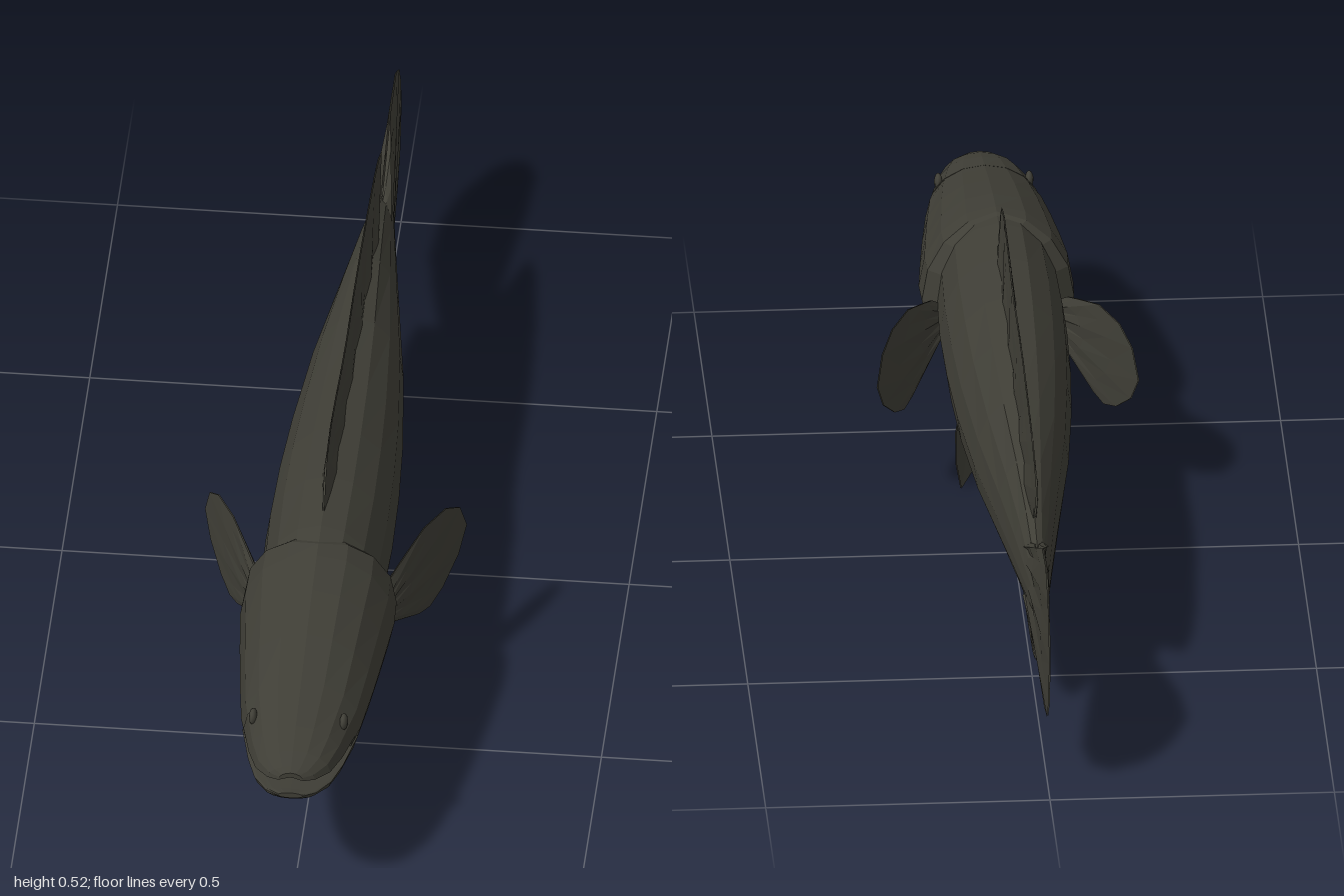
import * as THREE from 'three';

const SIDES = 16;
const skin = new THREE.MeshStandardMaterial({ color: 0x3f3e36 });
skin.name = 'dark olive skin';
const finSkin = new THREE.MeshStandardMaterial({ color: 0x3f3e36, side: THREE.DoubleSide });
finSkin.name = 'dark olive fin';

// faceted mesh from a list of triangle corner points
function facets(name, points, material) {
  const geometry = new THREE.BufferGeometry().setFromPoints(points);
  geometry.computeVertexNormals();
  const mesh = new THREE.Mesh(geometry, material);
  mesh.name = name;
  return mesh;
}

// closed loft, front to back; station = [z, bottom, middle, top, halfWidth, sweep]
// sweep pushes the flanks of a ring backwards
function loft(name, stations) {
  const rings = stations.map(([z, bottom, mid, top, w, sweep = 0]) =>
    Array.from({ length: SIDES }, (_, j) => {
      const a = (j / SIDES) * Math.PI * 2, c = Math.cos(a), s = Math.sin(a);
      const y = mid + (s > 0 ? (top - mid) * s : (mid - bottom) * s);
      return new THREE.Vector3(w * c, y, z - sweep * Math.abs(c));
    }));
  const centre = (ring) => ring.reduce((sum, p) => sum.add(p), new THREE.Vector3()).divideScalar(SIDES);
  const first = rings[0], last = rings[rings.length - 1];
  const front = centre(first), back = centre(last), tris = [];
  for (let j = 0; j < SIDES; j++) {
    const k = (j + 1) % SIDES;
    tris.push(front, first[j], first[k], back, last[k], last[j]);
    for (let i = 0; i < rings.length - 1; i++) {
      const a = rings[i], b = rings[i + 1];
      tris.push(a[j], b[j], a[k], a[k], b[j], b[k]);
    }
  }
  return facets(name, tris, skin);
}

// wedge-shaped fin fanning from a straight root to an outline, pleated along its rays
function fin(name, rootStart, rootEnd, outline, normal, thickness) {
  const A = new THREE.Vector3(...rootStart), B = new THREE.Vector3(...rootEnd);
  const N = new THREE.Vector3(...normal).normalize();
  const n = outline.length - 1, steps = 3, tris = [];
  const at = (i, v, side) => {
    const pleat = i === 0 || i === n ? 0.15 : i % 2 ? 0.65 : 1;
    return A.clone().lerp(B, i / n).lerp(new THREE.Vector3(...outline[i]), v)
      .addScaledVector(N, side * (thickness * (1 - v) * pleat + 0.001));
  };
  for (const side of [1, -1]) {
    for (let i = 0; i < n; i++) {
      for (let s = 0; s < steps; s++) {
        const v = s / steps, w = (s + 1) / steps;
        const a = at(i, v, side), b = at(i + 1, v, side), c = at(i, w, side), d = at(i + 1, w, side);
        if (side > 0) tris.push(a, b, c, c, b, d);
        else tris.push(a, c, b, c, d, b);
      }
    }
  }
  return facets(name, tris, finSkin);
}

// fin standing in the middle plane, outline as [z, y]
const middleFin = (name, start, end, outline, thickness) =>
  fin(name, [0, start[1], start[0]], [0, end[1], end[0]], outline.map(([z, y]) => [0, y, z]), [1, 0, 0], thickness);

export function createModel() {
  const fish = new THREE.Group();
  fish.name = 'fish';

  // trunk, starting inside the gill covers
  fish.add(loft('body', [
    [0.56, 0.165, 0.28, 0.412, 0.095],
    [0.44, 0.143, 0.28, 0.43, 0.108],
    [0.3, 0.137, 0.28, 0.431, 0.112],
    [0.15, 0.136, 0.275, 0.425, 0.109],
    [0, 0.141, 0.27, 0.413, 0.101],
    [-0.2, 0.152, 0.268, 0.4, 0.083],
    [-0.4, 0.17, 0.265, 0.38, 0.056],
    [-0.55, 0.186, 0.262, 0.352, 0.036],
    [-0.65, 0.198, 0.257, 0.322, 0.023],
    [-0.72, 0.215, 0.255, 0.295, 0.012],
  ]));

  // head with flared gill covers
  fish.add(loft('head', [
    [0.85, 0.202, 0.268, 0.349, 0.094],
    [0.8, 0.19, 0.27, 0.361, 0.106],
    [0.7, 0.174, 0.272, 0.388, 0.118],
    [0.6, 0.16, 0.275, 0.41, 0.128],
    [0.52, 0.15, 0.277, 0.424, 0.136, 0.01],
    [0.49, 0.146, 0.278, 0.428, 0.134, 0.04],
    [0.48, 0.15, 0.278, 0.424, 0.108, 0.05],
  ]));

  // open mouth: arched snout over a flat jaw
  fish.add(loft('upperJaw', [
    [0.99, 0.292, 0.286, 0.302, 0.022],
    [0.98, 0.294, 0.283, 0.309, 0.042],
    [0.95, 0.297, 0.279, 0.321, 0.066],
    [0.9, 0.297, 0.275, 0.337, 0.083],
    [0.83, 0.285, 0.272, 0.354, 0.099],
  ]));
  fish.add(loft('lowerJaw', [
    [1, 0.255, 0.26, 0.266, 0.022],
    [0.985, 0.242, 0.259, 0.264, 0.045],
    [0.95, 0.226, 0.258, 0.262, 0.068],
    [0.9, 0.212, 0.258, 0.262, 0.084],
    [0.82, 0.194, 0.262, 0.268, 0.102],
  ]));

  // unpaired fins
  fish.add(middleFin('dorsalFin', [0.4, 0.415], [-0.57, 0.335], [
    [0.4, 0.43], [0.375, 0.475], [0.345, 0.506], [0.27, 0.52], [0.18, 0.512], [0.08, 0.498],
    [-0.02, 0.491], [-0.15, 0.496], [-0.27, 0.493], [-0.4, 0.482], [-0.52, 0.467],
    [-0.59, 0.452], [-0.64, 0.428], [-0.625, 0.4], [-0.58, 0.352],
  ], 0.014));
  fish.add(middleFin('analFin', [0, 0.155], [-0.57, 0.2], [
    [0, 0.14], [-0.02, 0.1], [-0.06, 0.073], [-0.13, 0.06], [-0.22, 0.053], [-0.33, 0.053],
    [-0.44, 0.056], [-0.53, 0.062], [-0.6, 0.08], [-0.635, 0.105], [-0.62, 0.14], [-0.57, 0.18],
  ], 0.015));
  fish.add(middleFin('tailFin', [-0.6, 0.325], [-0.6, 0.195], [
    [-0.64, 0.318], [-0.7, 0.345], [-0.8, 0.394], [-0.9, 0.405], [-0.96, 0.368], [-0.99, 0.32],
    [-1, 0.265], [-0.98, 0.18], [-0.93, 0.128], [-0.85, 0.11], [-0.75, 0.13], [-0.65, 0.187],
  ], 0.022));

  // paired fins and eyes
  for (const [side, m] of [['left', 1], ['right', -1]]) {
    const pectoral = [
      [0.12, 0.3], [0.14, 0.314], [0.168, 0.332], [0.2, 0.326], [0.22, 0.298], [0.23, 0.245],
      [0.218, 0.198], [0.195, 0.16], [0.176, 0.146], [0.16, 0.154], [0.122, 0.195],
    ].map(([x, y]) => [m * x, y, 0.42 - (x - 0.112) * 2.1]);
    fish.add(fin(side + 'PectoralFin', [m * 0.106, 0.282, 0.43], [m * 0.106, 0.21, 0.43],
      pectoral, [m * 2.1, 0, 1], 0.01));

    const pelvic = [
      [0.03, 0.135, 0.43], [0.027, 0.105, 0.405], [0.03, 0.06, 0.36], [0.052, 0.018, 0.305],
      [0.077, 0, 0.262], [0.086, 0.05, 0.256], [0.086, 0.105, 0.27], [0.064, 0.145, 0.32],
    ].map(([x, y, z]) => [m * x, y, z]);
    fish.add(fin(side + 'PelvicFin', [m * 0.035, 0.155, 0.43], [m * 0.06, 0.16, 0.34],
      pelvic, [m * 2, 0, 1], 0.008));

    const eye = new THREE.Mesh(new THREE.SphereGeometry(0.015, 10, 8), skin);
    eye.name = side + 'Eye';
    eye.scale.x = 0.5;
    eye.position.set(m * 0.08, 0.315, 0.85);
    fish.add(eye);
  }
  return fish;
}
